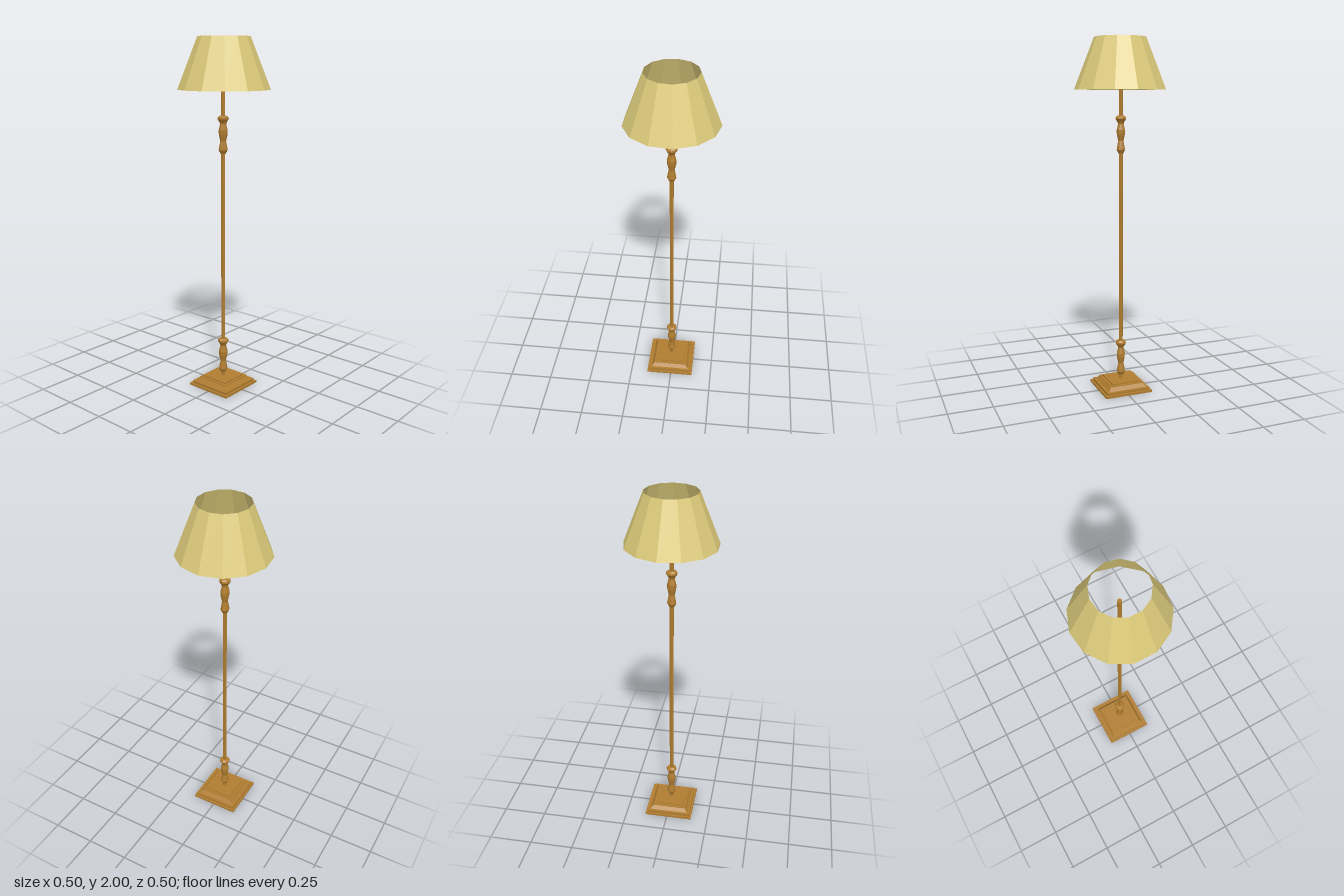
import * as THREE from 'three';

export function createModel() {
  const group = new THREE.Group();
  group.name = 'floorLamp';
  const wood = new THREE.MeshStandardMaterial({ color: 0xb07d30, flatShading: true });
  const cloth = new THREE.MeshStandardMaterial({ color: 0xdcca7a, flatShading: true, side: THREE.DoubleSide });

  const add = (name, geometry, material, x, y, z) => {
    const mesh = new THREE.Mesh(geometry, material);
    mesh.name = name;
    mesh.position.set(x, y, z);
    group.add(mesh);
    return mesh;
  };
  const turned = (profile, sides, start = 0) =>
    new THREE.LatheGeometry(profile.map(([r, y]) => new THREE.Vector2(r, y)), sides, start);

  // Stepped square base: half widths and heights, turned with four sides
  const steps = [
    [0, 0], [0.14, 0], [0.14, 0.012], [0.128, 0.012], [0.128, 0.026], [0.114, 0.026],
    [0.098, 0.046], [0.098, 0.05], [0.082, 0.05], [0.082, 0.057], [0, 0.057],
  ];
  add('base', turned(steps.map(([h, y]) => [h * Math.SQRT2, y]), 4, Math.PI / 4), wood, -0.008, 0, -0.003);

  // Slim pole reaching up into the shade
  const poleX = -0.007, poleZ = -0.004;
  add('pole', new THREE.CylinderGeometry(0.012, 0.012, 1.83, 6), wood, poleX, 0.965, poleZ);

  // Two matching turned balusters
  const baluster = [
    [0, 0], [0.014, 0], [0.025, 0.02], [0.023, 0.034], [0.016, 0.07], [0.024, 0.105],
    [0.025, 0.13], [0.017, 0.162], [0.019, 0.172], [0.031, 0.19], [0.03, 0.2], [0.022, 0.208], [0, 0.208],
  ];
  add('lowerBaluster', turned(baluster, 8), wood, poleX, 0.078, poleZ);
  add('upperBaluster', turned(baluster, 8), wood, poleX, 1.37, poleZ);

  // Open faceted shade with a corner towards +x
  add('shade', new THREE.CylinderGeometry(0.143, 0.254, 0.28, 13, 1, true, Math.PI / 2), cloth, -0.005, 1.86, 0);

  return group;
}
